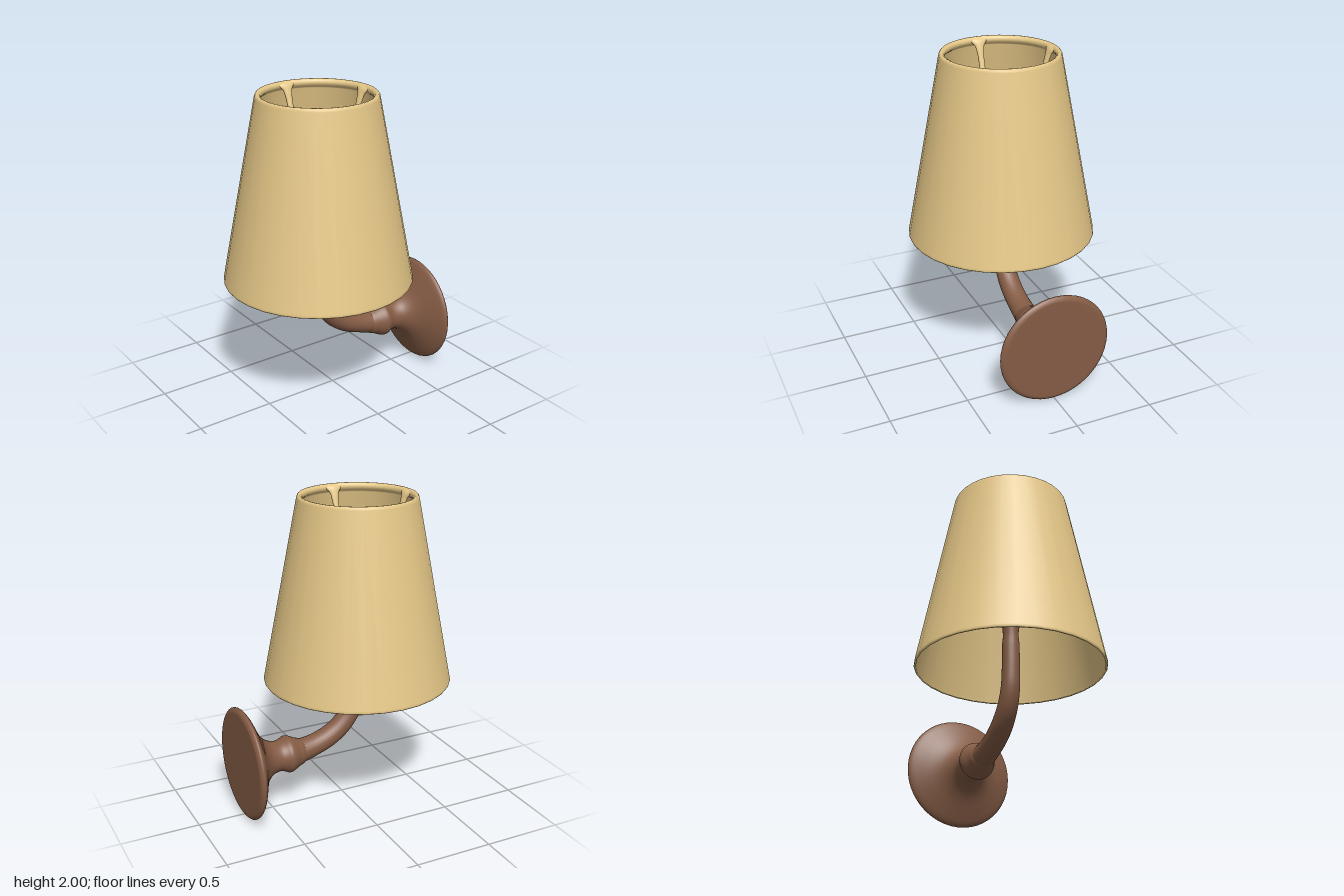
import * as THREE from 'three';

const AXIS_Z = 0.11; // centre of the shade
const shadeMat = new THREE.MeshStandardMaterial({ color: 0xe6c888 });
const brownMat = new THREE.MeshStandardMaterial({ color: 0x855c45 });
const greyMat = new THREE.MeshStandardMaterial({ color: 0xcccccc });

const v2 = (pts) => pts.map(([a, b]) => new THREE.Vector2(a, b));

function add(parent, name, geometry, material) {
  const mesh = new THREE.Mesh(geometry, material);
  mesh.name = name;
  parent.add(mesh);
  return mesh;
}

// Sweeps an ellipse along a curve in the y-z plane.
// Each station is [y, z, half width along x, half thickness].
function sweep(stations, rings, sides) {
  const path = new THREE.CatmullRomCurve3(stations.map(([y, z]) => new THREE.Vector3(0, y, z)));
  const size = new THREE.CatmullRomCurve3(stations.map(([, , w, t]) => new THREE.Vector3(w, t, 0)));
  const pos = [], index = [], side = new THREE.Vector3(1, 0, 0);
  for (let i = 0; i <= rings; i++) {
    const p = path.getPoint(i / rings), s = size.getPoint(i / rings);
    const n = path.getTangent(i / rings).cross(side).normalize();
    for (let j = 0; j < sides; j++) {
      const a = (j / sides) * Math.PI * 2;
      const q = p.clone().addScaledVector(side, s.x * Math.cos(a)).addScaledVector(n, s.y * Math.sin(a));
      pos.push(q.x, q.y, q.z);
      if (i === rings) continue;
      const k = i * sides, m = (j + 1) % sides;
      index.push(k + j, k + m, k + sides + j, k + m, k + sides + m, k + sides + j);
    }
  }
  const g = new THREE.BufferGeometry();
  g.setAttribute('position', new THREE.Float32BufferAttribute(pos, 3));
  g.setIndex(index);
  g.computeVertexNormals();
  return g;
}

export function createModel() {
  const model = new THREE.Group();
  model.name = 'wallLamp';

  // Round wall plate flowing into a neck and a raised collar
  const flare = new THREE.SplineCurve(v2([
    [0.335, -0.709], [0.352, -0.7], [0.36, -0.685], [0.34, -0.664], [0.275, -0.632], [0.205, -0.598],
    [0.15, -0.56], [0.113, -0.515], [0.099, -0.46], [0.107, -0.425], [0.12, -0.395],
    [0.113, -0.365], [0.095, -0.33], [0.08, -0.29], [0.05, -0.26],
  ])).getPoints(56);
  const plateProfile = [...v2([[0, -0.71], [0.3, -0.71], [0.325, -0.71]]), ...flare];
  const plate = add(model, 'wallPlate', new THREE.LatheGeometry(plateProfile, 48).rotateX(Math.PI / 2), brownMat);
  plate.position.y = 0.365;

  // Curved arm rising into the shade
  add(model, 'arm', sweep([
    [0.365, -0.4, 0.08, 0.08], [0.368, -0.3, 0.078, 0.078], [0.39, -0.2, 0.072, 0.07],
    [0.428, -0.1, 0.07, 0.068], [0.49, -0.01, 0.068, 0.066], [0.575, 0.06, 0.064, 0.062],
    [0.68, 0.1, 0.06, 0.058], [0.8, AXIS_Z, 0.057, 0.056], [0.98, AXIS_Z, 0.055, 0.055],
    [1.15, AXIS_Z, 0.055, 0.055],
  ], 54, 24), brownMat);

  const head = new THREE.Group();
  head.name = 'lampHead';
  head.position.z = AXIS_Z;
  model.add(head);

  // Socket cup under the bulb
  add(head, 'socket', new THREE.LatheGeometry(v2([
    [0, 1.1], [0.055, 1.1], [0.075, 1.12], [0.078, 1.14], [0.078, 1.22], [0.07, 1.23], [0, 1.23],
  ]), 24), brownMat);

  // Globe bulb
  add(head, 'bulb', new THREE.SphereGeometry(0.16, 32, 20), greyMat).position.y = 1.36;

  // Thin tapered shade, closed inside and out, with a rolled upper rim
  const shade = add(head, 'shade', new THREE.LatheGeometry(v2([
    [0.585, 0.815], [0.588, 0.81], [0.595, 0.81], [0.599, 0.816], [0.597, 0.83],
    [0.374, 1.98], [0.371, 1.992], [0.365, 2], [0.354, 2], [0.341, 1.992],
    [0.336, 1.978], [0.34, 1.962], [0.354, 1.95], [0.365, 1.94], [0.583, 0.83], [0.585, 0.815],
  ]), 32), shadeMat);
  shade.rotation.y = Math.PI / 2;

  // Four spokes, flared where they join the rim, running down to the socket
  const spoke = sweep([
    [1.985, 0.352, 0.085, 0.012], [1.975, 0.336, 0.055, 0.014], [1.945, 0.322, 0.03, 0.015],
    [1.88, 0.302, 0.02, 0.015], [1.75, 0.262, 0.018, 0.015], [1.55, 0.215, 0.016, 0.015],
    [1.35, 0.18, 0.016, 0.015], [1.22, 0.14, 0.016, 0.015], [1.17, 0.06, 0.016, 0.015],
  ], 48, 12);
  for (let i = 0; i < 4; i++) {
    add(head, 'spoke', spoke, shadeMat).rotation.y = (i * Math.PI) / 2;
  }
  return model;
}
